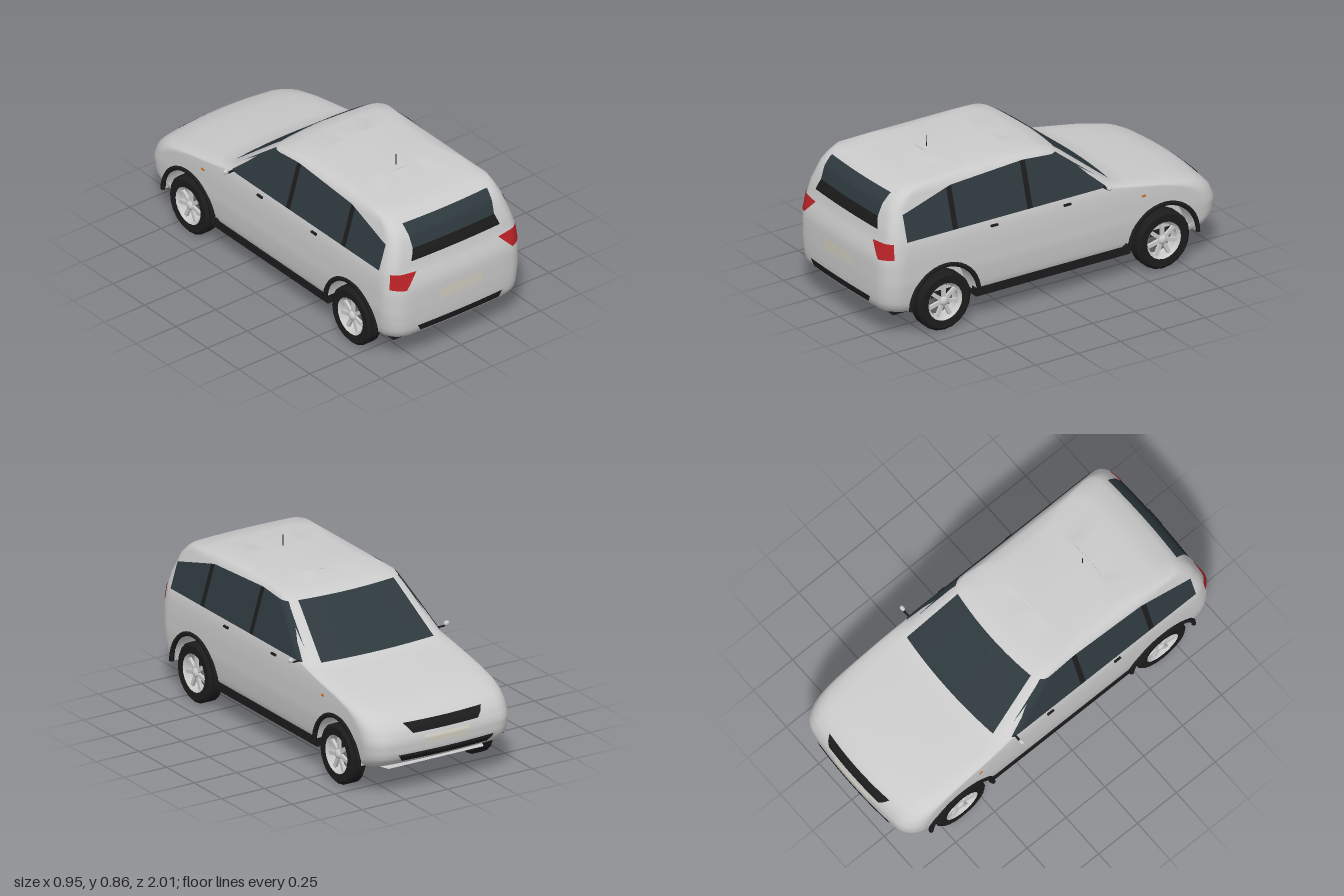
import * as THREE from 'three';
import { toCreasedNormals } from 'three/addons/utils/BufferGeometryUtils.js';

const mat = (color) => new THREE.MeshStandardMaterial({ color, side: THREE.DoubleSide });
const GREY = mat(0xcccccc), BLACK = mat(0x1c1c1c), GLASS = mat(0x2e393e);
const RED = mat(0xb82226), CREAM = mat(0xd2cfc2), ORANGE = mat(0xc8741e);

// Horizontal slices of the body: y, half width, nose z, tail z, corner radius, nose bow
const SLICES = [
  [0.13, 0.36, -0.86, 0.94, 0.09, 0.03], [0.15, 0.39, -0.9, 0.965, 0.1, 0.03],
  [0.18, 0.405, -0.965, 0.99, 0.1, 0.03], [0.22, 0.412, -0.997, 0.997, 0.1, 0.03],
  [0.3, 0.42, -1, 1, 0.1, 0.03], [0.36, 0.42, -0.98, 1, 0.1, 0.04],
  [0.4, 0.42, -0.945, 1, 0.1, 0.05], [0.43, 0.419, -0.895, 0.998, 0.1, 0.06],
  [0.46, 0.417, -0.79, 0.992, 0.1, 0.07], [0.49, 0.415, -0.61, 0.982, 0.09, 0.06],
  [0.525, 0.408, -0.39, 0.97, 0.07, 0.03], [0.6, 0.385, -0.295, 0.955, 0.06, 0.03],
  [0.7, 0.355, -0.17, 0.92, 0.06, 0.03], [0.74, 0.343, -0.12, 0.885, 0.06, 0.03],
  [0.768, 0.333, -0.08, 0.845, 0.06, 0.03], [0.783, 0.31, 0, 0.72, 0.1, 0.03],
  [0.792, 0.25, 0.13, 0.52, 0.1, 0.03]];
const WHEEL_Z = [0.65, -0.64], WHEEL_Y = 0.155, ARCH = 0.195, TAIL_BOW = 0.015;

function slice(y) {
  let i = 0;
  while (i < SLICES.length - 2 && y > SLICES[i + 1][0]) i++;
  const a = SLICES[i], b = SLICES[i + 1];
  const t = THREE.MathUtils.clamp((y - a[0]) / (b[0] - a[0]), 0, 1);
  const [, w, zF, zR, r, bow] = a.map((v, k) => v + (b[k] - v) * t);
  return { w, zF, zR, r, bow };
}
const cornerDrop = (d, r) => r - Math.sqrt(Math.max(0, r * r - d * d));

// z of the tail (end = 1) or nose (end = -1) surface at x, y
function skinZ(x, y, end) {
  const s = slice(y), ax = Math.min(Math.abs(x), s.w);
  const drop = (end > 0 ? TAIL_BOW : s.bow) * (ax / s.w) ** 2 + cornerDrop(Math.max(0, ax - s.w + s.r), s.r);
  return end > 0 ? s.zR - drop : s.zF + drop;
}
// Half width of the side surface at z, y
function skinX(z, y) {
  const s = slice(y);
  const d = Math.max(0, s.zF + s.bow + s.r - z, z - (s.zR - TAIL_BOW - s.r));
  return s.w - cornerDrop(Math.min(d, s.r), s.r);
}

// Body shell: slices joined upwards, the lower edge lifted round the wheel arches
const END = 6, CORNER = 7, SIDE = 84, HALF = 2 * (END + CORNER) + SIDE;
function shellPoint(c, y) {
  const s = slice(y);
  const endX = (k) => k <= END ? (s.w - s.r) * k / END
    : s.w - s.r + s.r * Math.sin((k - END) / CORNER * Math.PI / 2);
  const e = END + CORNER;
  if (c <= e) return [endX(c), y, skinZ(endX(c), y, 1)];
  if (c >= e + SIDE) return [endX(HALF - c), y, skinZ(endX(HALF - c), y, -1)];
  return [s.w, y, THREE.MathUtils.lerp(skinZ(s.w, y, 1), skinZ(s.w, y, -1), (c - e) / SIDE)];
}
function archY(z) {
  for (const cz of WHEEL_Z) {
    const d = Math.abs(z - cz);
    if (d < ARCH) return WHEEL_Y + Math.sqrt(ARCH * ARCH - d * d);
  }
  return 0;
}
function shellGeometry() {
  const rows = [...SLICES.map((s) => s[0]), 0.2, 0.25, 0.275, 0.325, 0.34, 0.51, 0.56, 0.65].sort((a, b) => a - b);
  const pos = [], index = [], cols = 2 * HALF + 1;
  for (let j = 0; j <= rows.length; j++) {
    for (let i = 0; i < cols; i++) {
      const c = i <= HALF ? i : 2 * HALF - i;
      const onSide = c > END + CORNER && c < HALF - END - CORNER;
      const low = onSide ? archY(shellPoint(c, 0.3)[2]) : 0;
      const p = shellPoint(c, Math.max(rows[Math.min(j, rows.length - 1)], low));
      if (j === rows.length) { p[0] = 0; p[1] = 0.797; } // roof closes on its centre line
      pos.push(i <= HALF ? p[0] : -p[0], p[1], p[2]);
      if (j < rows.length && i < cols - 1) {
        const a = j * cols + i, b = a + cols;
        index.push(a, a + 1, b + 1, a, b + 1, b);
      }
    }
  }
  const g = new THREE.BufferGeometry();
  g.setAttribute('position', new THREE.Float32BufferAttribute(pos, 3));
  g.setIndex(index);
  return toCreasedNormals(g, 0.7);
}

// A four-cornered panel laid on the skin; corners run round from lower left
function patch(corners, place, n = 10) {
  const g = new THREE.PlaneGeometry(1, 1, n, n), p = g.attributes.position;
  const [a, b, c, d] = corners.map((q) => new THREE.Vector2(...q));
  for (let i = 0; i < p.count; i++) {
    const u = p.getX(i) + 0.5, v = p.getY(i) + 0.5;
    const q = a.clone().lerp(b, u).lerp(d.clone().lerp(c, u), v);
    p.setXYZ(i, ...place(q.x, q.y));
  }
  g.computeVertexNormals();
  return g;
}
const onEnd = (end, lift = 0.005) => (x, y) => [x, y, skinZ(x, y, end) + end * lift];
const onSide = (side, lift = 0.005) => (z, y) => [side * (skinX(z, y) + lift), y, z];
const trapezoid = (y0, x0, y1, x1) => [[-x0, y0], [x0, y0], [x1, y1], [-x1, y1]];

function add(parent, name, geometry, material, x = 0, y = 0, z = 0) {
  const m = new THREE.Mesh(geometry, material);
  m.name = name;
  m.position.set(x, y, z);
  parent.add(m);
  return m;
}

function wheel() {
  const g = new THREE.Group();
  const lathe = (pts, n) => toCreasedNormals(
    new THREE.LatheGeometry(pts.map((p) => new THREE.Vector2(...p)), n).rotateZ(-Math.PI / 2), 0.6);
  add(g, 'tyre', lathe([[0.1, -0.04], [0.14, -0.043], [0.155, -0.03], [0.155, 0.03], [0.14, 0.043], [0.1, 0.04]], 20), BLACK);
  add(g, 'rim', lathe([[0.1, -0.04], [0.088, -0.03], [0.085, 0.025], [0.1, 0.04]], 20), GREY);
  const hub = add(g, 'hub', new THREE.SphereGeometry(0.026, 12, 8), GREY, 0.025);
  hub.scale.x = 0.7;
  for (let i = 0; i < 7; i++) {
    const spoke = new THREE.BoxGeometry(0.014, 0.075, 0.02).translate(0.022, 0.052, 0);
    add(g, 'spoke', spoke.rotateX(i * Math.PI * 2 / 7), GREY);
  }
  return g;
}

export function createModel() {
  const car = new THREE.Group();
  car.name = 'car';
  add(car, 'body', shellGeometry(), GREY);

  // Floor with notches for the wheels
  const side = [[0.36, 0.92], [0.36, 0.84], [0.3, 0.84], [0.3, 0.46], [0.36, 0.46], [0.36, -0.45],
    [0.3, -0.45], [0.3, -0.83]];
  const outline = [...side, ...side.map(([x, z]) => [-x, z]).reverse()];
  const floor = new THREE.Shape(outline.map(([x, z]) => new THREE.Vector2(x, z)));
  add(car, 'floor', new THREE.ExtrudeGeometry(floor, { depth: 0.015, bevelEnabled: false }).rotateX(Math.PI / 2), BLACK, 0, 0.143);
  add(car, 'frontChin', patch(trapezoid(-0.9, 0.28, -0.82, 0.31), (x, z) => [x, 0.135, z]), GREY);

  // Tail: window, lower dark band, plate, bumper strip, wiper
  add(car, 'rearWindow', patch(trapezoid(0.635, 0.255, 0.748, 0.265), onEnd(1)), GLASS);
  add(car, 'rearWindowBand', patch(trapezoid(0.575, 0.278, 0.635, 0.255), onEnd(1)), BLACK);
  add(car, 'rearPlate', patch(trapezoid(0.325, 0.133, 0.382, 0.133), onEnd(1)), CREAM);
  add(car, 'rearBumperStrip', patch(trapezoid(0.178, 0.245, 0.215, 0.265), onEnd(1)), BLACK);
  add(car, 'rearWiper', new THREE.BoxGeometry(0.1, 0.005, 0.008), BLACK, 0, 0.63, 0.952);

  // Nose: windscreen, grille, plate, intake
  add(car, 'windscreen', patch(trapezoid(0.532, 0.33, 0.757, 0.28), onEnd(-1, 0.007)), GLASS);
  add(car, 'grille', patch(trapezoid(0.335, 0.19, 0.385, 0.23), onEnd(-1)), BLACK);
  add(car, 'frontPlate', patch(trapezoid(0.27, 0.13, 0.315, 0.13), onEnd(-1)), CREAM);
  add(car, 'lowerIntake', patch(trapezoid(0.195, 0.25, 0.235, 0.28), onEnd(-1)), BLACK);
  add(car, 'aerial', new THREE.CylinderGeometry(0.002, 0.003, 0.065, 6), BLACK, 0, 0.823, 0.485);

  for (const s of [1, -1]) {
    add(car, 'tailLight', patch([[0.332, 0.44], [0.402, 0.447], [0.392, 0.528], [0.257, 0.517]]
      .map(([x, y]) => [s * x, y]), onEnd(1)), RED);

    // Side windows and pillars, each as rear z, front z and their top edge
    const panes = [['quarterWindow', GLASS, 0.87, 0.6, 0.6, 0.87, 0.665, 0.738],
      ['rearPillar', BLACK, 0.6, 0.57, 0.57, 0.6, 0.738, 0.745],
      ['rearDoorWindow', GLASS, 0.57, 0.16, 0.16, 0.57, 0.745, 0.766],
      ['centrePillar', BLACK, 0.16, 0.13, 0.13, 0.16, 0.766, 0.766],
      ['frontDoorWindow', GLASS, 0.13, -0.345, -0.06, 0.13, 0.766, 0.752]];
    for (const [name, m, z0, z1, zt1, zt0, y0, y1] of panes)
      add(car, name, patch([[z0, 0.53], [z1, 0.53], [zt1, y1], [zt0, y0]], onSide(s)), m);

    for (const z of [0.36, -0.07]) add(car, 'doorHandle', new THREE.BoxGeometry(0.012, 0.01, 0.04), BLACK, s * 0.417, 0.497, z);
    add(car, 'sideMarker', new THREE.BoxGeometry(0.01, 0.01, 0.02), ORANGE, s * 0.418, 0.43, -0.52);
    add(car, 'sill', new THREE.BoxGeometry(0.04, 0.045, 0.91), BLACK, s * 0.388, 0.152, 0.005);
    add(car, 'mirrorStem', new THREE.BoxGeometry(0.05, 0.006, 0.01), BLACK, s * 0.42, 0.534, -0.29);
    add(car, 'mirror', new THREE.SphereGeometry(0.016, 12, 8).scale(1, 0.85, 0.7), GREY, s * 0.457, 0.545, -0.29);

    for (const z of WHEEL_Z) {
      const w = wheel();
      w.name = 'wheel';
      w.position.set(s * 0.378, WHEEL_Y, z);
      if (s < 0) w.rotation.y = Math.PI;
      car.add(w);
      const trim = new THREE.TorusGeometry(0.2, 0.013, 6, 20, Math.PI).rotateY(Math.PI / 2);
      add(car, 'archTrim', trim, BLACK, s * 0.418, WHEEL_Y, z);
      const well = new THREE.CylinderGeometry(ARCH, ARCH, 0.13, 20, 1, true, 0, Math.PI).rotateZ(Math.PI / 2);
      add(car, 'wheelWell', well, GREY, s * 0.355, WHEEL_Y, z);
      add(car, 'wellWall', new THREE.CircleGeometry(ARCH, 20, 0, Math.PI).rotateY(Math.PI / 2), GREY, s * 0.29, WHEEL_Y, z);
    }
  }
  return car;
}
